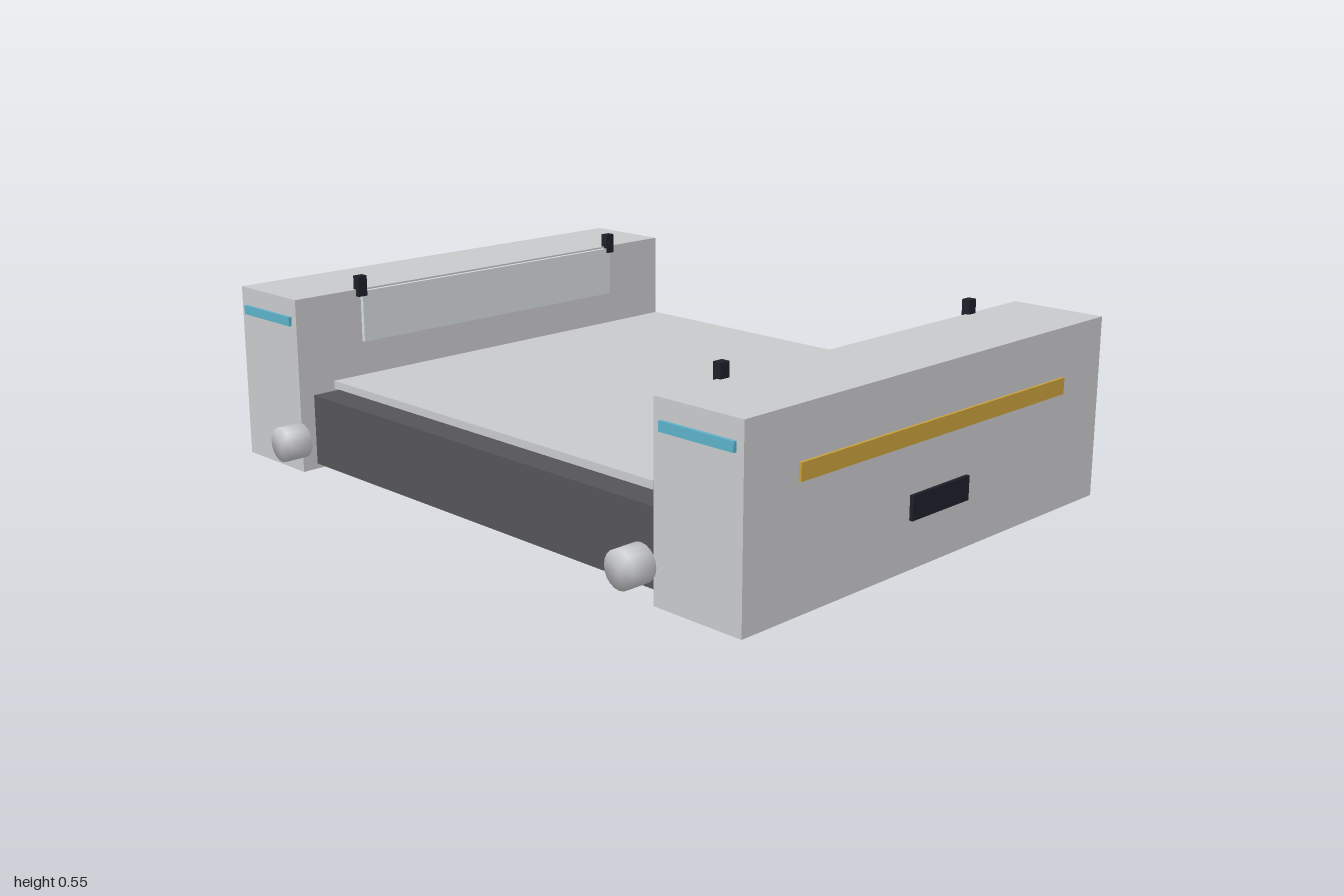
import * as THREE from 'three';
import { mergeVertices } from 'three/addons/utils/BufferGeometryUtils.js';

const mat = (name, color) => {
  const m = new THREE.MeshStandardMaterial({ color });
  m.name = name;
  return m;
};

export function createModel() {
  const hull = mat('light grey', 0xc8c9cb);
  const deckGrey = mat('dark grey', 0x555557);
  const black = mat('near black', 0x1e2029);
  const amber = mat('amber', 0xc8a03a);
  const cyan = mat('cyan', 0x5cb0c8);
  const pale = mat('pale grey', 0xd6d9da);

  const model = new THREE.Group();
  model.name = 'platform';

  const add = (name, geometry, material, x, y, z) => {
    const mesh = new THREE.Mesh(geometry, material);
    mesh.name = name;
    mesh.position.set(x, y, z);
    model.add(mesh);
    return mesh;
  };
  // Box given by its lower and upper limits
  const box = (name, material, [x0, x1], [y0, y1], [z0, z1]) =>
    add(name, new THREE.BoxGeometry(Math.abs(x1 - x0), y1 - y0, Math.abs(z1 - z0)),
      material, (x0 + x1) / 2, (y0 + y1) / 2, (z0 + z1) / 2);

  // Middle deck and the pad hovering over it
  box('deck', deckGrey, [-0.715, 0.715], [0.015, 0.22], [-0.665, 0.665]);
  box('pad', hull, [-0.643, 0.643], [0.25, 0.272], [-0.643, 0.643]);

  // Short cylinder with normals blended over its rims
  let knob = new THREE.CylinderGeometry(0.05, 0.05, 0.07, 20);
  knob.deleteAttribute('normal');
  knob.deleteAttribute('uv');
  knob = mergeVertices(knob);
  knob.computeVertexNormals();
  knob.rotateX(Math.PI / 2);

  for (const s of [-1, 1]) {
    // Side housing with its outer strip and port
    box('sideHousing', hull, [s * 0.715, s * 0.99], [0, 0.505], [-0.712, 0.712]);
    box('sideStrip', amber, [s * 0.99, s * 0.998], [0.325, 0.37], [-0.53, 0.53]);
    box('sidePort', black, [s * 0.99, s * 1], [0.13, 0.195], [-0.115, 0.115]);

    // Inner guard panel
    box('guardPanel', pale, [s * 0.703, s * 0.715], [0.35, 0.5], [-0.49, 0.49]);

    for (const e of [-1, 1]) {
      box('endLight', cyan, [s * 0.738, s * 0.968], [0.427, 0.453], [e * 0.712, e * 0.721]);
      box('clip', black, [s * 0.702, s * 0.726], [0.485, 0.545], [e * 0.475, e * 0.505]);
      add('bumperKnob', knob, hull, s * 0.69, 0.105, e * 0.763);
    }
  }
  return model;
}
